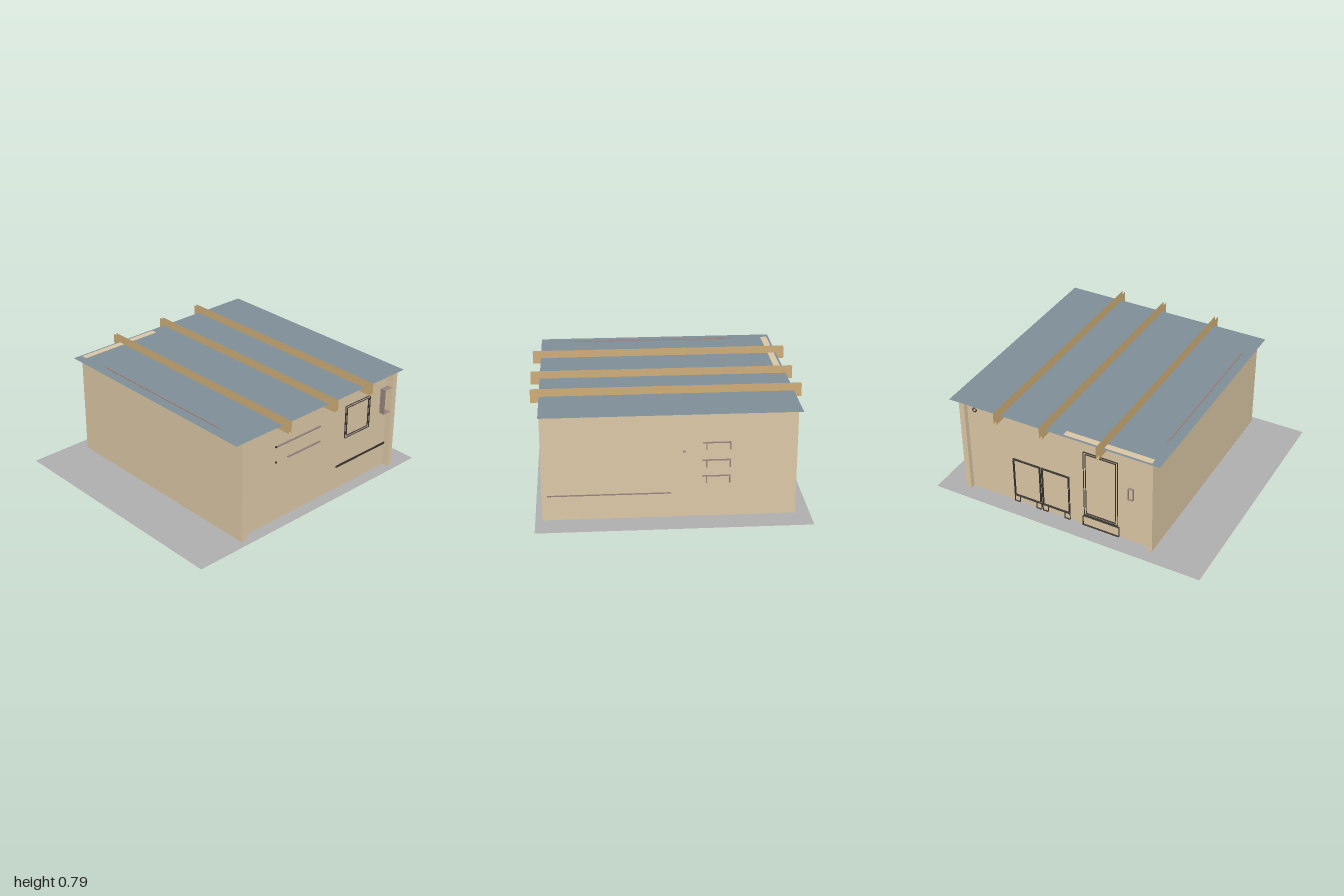
import * as THREE from 'three';

const mat = (color) => new THREE.MeshStandardMaterial({ color, side: THREE.DoubleSide, flatShading: true });

export function createModel() {
  const model = new THREE.Group();
  const tan = mat(0xdcc8a6), slate = mat(0x7f8f98), wood = mat(0xcfae78);
  const paving = mat(0xb0b0b0), dark = mat(0x3a3632), metal = mat(0x9a8580);

  const add = (name, geometry, material, parent = model) => {
    const mesh = new THREE.Mesh(geometry, material);
    mesh.name = name;
    parent.add(mesh);
    return mesh;
  };
  // Solid box given by its min and max corners
  const box = (name, material, a, b, parent) => {
    const m = add(name, new THREE.BoxGeometry(b[0] - a[0], b[1] - a[1], b[2] - a[2]), material, parent);
    m.position.set((a[0] + b[0]) / 2, (a[1] + b[1]) / 2, (a[2] + b[2]) / 2);
    return m;
  };
  // Horizontal sheet
  const sheet = (name, material, x0, x1, z0, z1, y) => {
    const m = add(name, new THREE.PlaneGeometry(x1 - x0, z1 - z0).rotateX(-Math.PI / 2), material);
    m.position.set((x0 + x1) / 2, y, (z0 + z1) / 2);
    return m;
  };
  // Open rectangular tube along x: the four reveals of a frame or casing
  const openCasing = (name, material, x0, x1, y0, y1, z0, z1) => {
    const g = new THREE.Group();
    g.name = name;
    model.add(g);
    for (const y of [y0, y1]) {
      const p = add('rail', new THREE.PlaneGeometry(x1 - x0, z1 - z0).rotateX(-Math.PI / 2), material, g);
      p.position.set((x0 + x1) / 2, y, (z0 + z1) / 2);
    }
    for (const z of [z0, z1]) {
      const p = add('stile', new THREE.PlaneGeometry(x1 - x0, y1 - y0), material, g);
      p.position.set((x0 + x1) / 2, (y0 + y1) / 2, z);
    }
    return g;
  };
  // Window or door frame: an outer and an inner casing
  const frame = (name, x0, x1, y0, y1, z0, z1, t = 0.015) => {
    openCasing(name, dark, x0, x1, y0, y1, z0, z1);
    openCasing(name + 'Inner', dark, x0, x1, y0 + t, y1 - t, z0 + t, z1 - t);
  };

  // Ground, walls and roof
  sheet('ground', paving, -0.9, 0.87, -1, 1, 0.02);
  box('frontWall', tan, [-0.805, 0.02, 0.575], [0.825, 0.742, 0.615]);
  box('backWall', tan, [-0.805, 0.02, -0.82], [0.825, 0.742, -0.78]);
  box('leftWall', tan, [0.74, 0.02, -0.78], [0.78, 0.742, 0.575]);
  box('rightWall', tan, [-0.77, 0.02, -0.78], [-0.73, 0.742, 0.575]);
  sheet('roof', slate, -0.825, 0.83, -0.88, 0.67, 0.745);
  sheet('roofEdgeStrip', tan, -0.81, -0.765, -0.02, 0.61, 0.747);
  box('roofGutter', metal, [-0.56, 0.745, 0.59], [0.59, 0.75, 0.6]);

  // Roof beams: channels open at the top and ends
  for (const [x0, x1, z] of [[-0.875, 0.885, -0.492], [-0.87, 0.89, -0.153], [-0.88, 0.885, 0.265]]) {
    const beam = new THREE.Group();
    beam.name = 'roofBeam';
    model.add(beam);
    const cx = (x0 + x1) / 2;
    for (const s of [-1, 1])
      add('beamSide', new THREE.PlaneGeometry(x1 - x0, 0.085), wood, beam).position.set(cx, 0.7475, z + s * 0.011);
    add('beamBottom', new THREE.PlaneGeometry(x1 - x0, 0.022).rotateX(-Math.PI / 2), wood, beam).position.set(cx, 0.705, z);
  }

  // Left side: window, wall unit, pipes and skirting rail
  frame('window', 0.78, 0.79, 0.39, 0.63, -0.6, -0.36);
  openCasing('wallUnit', metal, 0.78, 0.825, 0.455, 0.64, -0.79, -0.71);
  box('sideRail', dark, [0.78, 0.186, -0.8], [0.786, 0.2, -0.29]);
  for (const [y, z1] of [[0.573, 0.27], [0.46, 0.18]]) {
    box('wallPipe', metal, [0.78, y - 0.004, -0.12], [0.79, y + 0.004, z1]);
    box('pipeKnob', dark, [0.78, y - 0.005, 0.28], [0.79, y + 0.005, 0.29]);
  }

  // Right side: two hatches, door, lamp and vent
  for (const z of [-0.44, -0.22]) {
    frame('hatch', -0.782, -0.77, 0.07, 0.38, z, z + 0.21, 0.008);
    for (const dz of [0, 0.17])
      openCasing('hatchFoot', dark, -0.782, -0.77, 0.022, 0.07, z + dz, z + dz + 0.04);
  }
  frame('door', -0.782, -0.77, 0.11, 0.63, 0.1, 0.35);
  openCasing('doorStep', dark, -0.785, -0.77, 0.022, 0.1, 0.09, 0.36);
  openCasing('wallLamp', metal, -0.79, -0.77, 0.37, 0.46, 0.43, 0.465);
  const vent = add('vent', new THREE.TorusGeometry(0.014, 0.004, 6, 16).rotateY(Math.PI / 2), dark);
  vent.position.set(-0.774, 0.68, -0.72);

  // Back: long rail and three bracket pipes
  box('backRail', metal, [0, 0.184, -0.824], [0.79, 0.192, -0.82]);
  for (const y of [0.53, 0.41, 0.3]) {
    box('bracketBar', metal, [-0.38, y - 0.004, -0.826], [-0.2, y + 0.004, -0.82]);
    for (const x of [-0.38, -0.23])
      box('bracketLeg', metal, [x, y - 0.05, -0.826], [x + 0.008, y, -0.82]);
  }
  box('backKnob', metal, [-0.09, 0.468, -0.826], [-0.075, 0.478, -0.82]);

  // Fittings under the ground
  const ring = add('drainRing', new THREE.TorusGeometry(0.09, 0.006, 6, 10).rotateX(Math.PI / 2), dark);
  ring.position.set(0, 0.011, -0.07);
  for (const [x, z] of [[0.08, -0.06], [0.12, -0.03], [0.1, -0.1]])
    add('drainCap', new THREE.CylinderGeometry(0.022, 0.022, 0.018, 10), dark).position.set(x, 0.01, z);
  for (const x of [0.65, 0.775]) box('hatchEdge', metal, [x, 0.008, -0.66], [x + 0.006, 0.019, -0.32]);
  for (const z of [-0.66, -0.326]) box('hatchEdge', metal, [0.65, 0.008, z], [0.78, 0.019, z + 0.006]);
  box('groundPin', dark, [-0.597, 0.002, -0.655], [-0.585, 0.019, -0.643]);

  return model;
}
